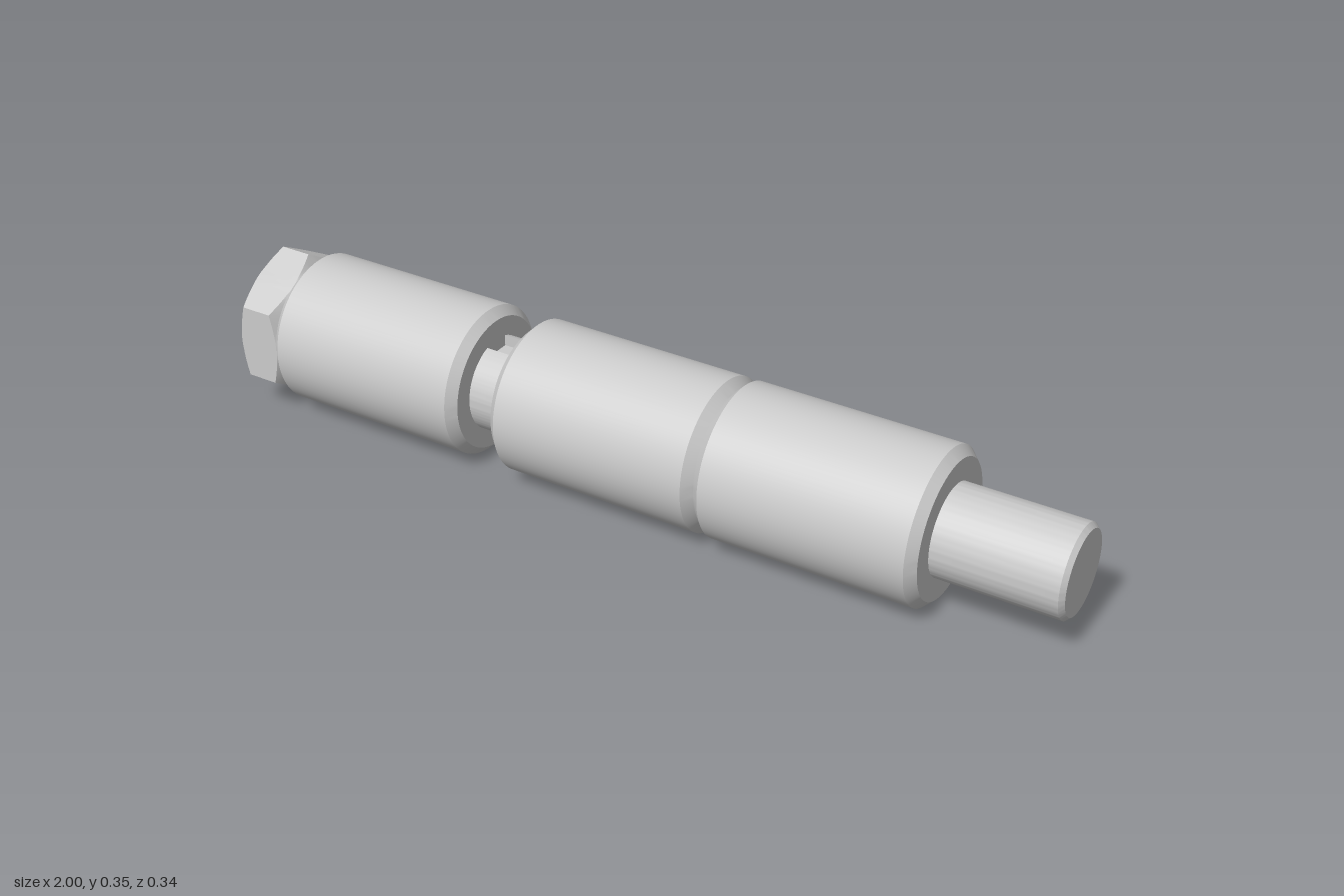
import * as THREE from 'three';
import { toCreasedNormals } from 'three/addons/utils/BufferGeometryUtils.js';

const AXIS_Y = 0.173;
const material = new THREE.MeshStandardMaterial({ color: 0xcccccc });

// Adds a part whose length runs along x, on the common axis
function addPart(group, name, geometry) {
  const mesh = new THREE.Mesh(toCreasedNormals(geometry, 0.4), material);
  mesh.name = name;
  mesh.position.y = AXIS_Y;
  group.add(mesh);
}

// Solid of revolution around x from [radius, x] points
function turned(points, segments = 96) {
  const profile = points.map(([r, x]) => new THREE.Vector2(r, x));
  return new THREE.LatheGeometry(profile, segments).rotateZ(-Math.PI / 2);
}

// Cylinder along x with chamfered ends
function chamferedBar(x0, x1, r, c0, c1 = c0) {
  return turned([[0, x0], [r - c0, x0], [r, x0 + c0], [r, x1 - c1], [r - c1, x1], [0, x1]]);
}

// Hexagonal head: turned blank with its rim pulled out to a hexagon,
// leaving the curved chamfer where the corners pass the face circle
function hexHead(x0, x1, apothem) {
  const geo = turned([[0, x0], [apothem, x0], [apothem, x0], [apothem, x1], [apothem, x1], [0, x1]], 96);
  const p = geo.attributes.position;
  const sector = Math.PI / 3;
  for (let i = 0; i < p.count; i++) {
    const ring = i % 6;
    if (ring !== 2 && ring !== 3) continue;
    const angle = Math.atan2(p.getY(i), p.getZ(i));
    const off = angle - Math.round(angle / sector) * sector;
    const r = apothem / Math.cos(off);
    const drop = 0.001 + (r - apothem) * 0.55;
    p.setXYZ(i, ring === 2 ? x0 + drop : x1 - drop, r * Math.sin(angle), r * Math.cos(angle));
  }
  return geo;
}

// Shaft section with a shallow keyway along its top
function slottedShaft(x0, x1, r, halfWidth, depth) {
  const a = Math.asin(halfWidth / r);
  const shape = new THREE.Shape();
  shape.absarc(0, 0, r, Math.PI / 2 + a, Math.PI * 2.5 - a, false);
  shape.lineTo(halfWidth, r - depth);
  shape.lineTo(-halfWidth, r - depth);
  shape.closePath();
  return new THREE.ExtrudeGeometry(shape, { depth: x1 - x0, bevelEnabled: false, curveSegments: 64 })
    .rotateY(Math.PI / 2)
    .translate(x0, 0, 0);
}

export function createModel() {
  const group = new THREE.Group();
  group.name = 'rollerShaft';

  // Bolt tip and hexagonal nut
  addPart(group, 'boltTip', chamferedBar(-1, -0.9, 0.079, 0.012, 0));
  addPart(group, 'hexNut', hexHead(-0.953, -0.853, 0.15));

  // Three equal chamfered sleeves
  [-0.853, -0.27, 0.226].forEach((x, i) =>
    addPart(group, `sleeve${i + 1}`, chamferedBar(x, x + 0.497, 0.17, 0.02)));

  // Exposed neck with keyway, and the plain shaft end
  addPart(group, 'slottedNeck', slottedShaft(-0.37, -0.25, 0.106, 0.033, 0.03));
  addPart(group, 'shaftEnd', chamferedBar(0.7, 1, 0.1, 0, 0.01));

  return group;
}
